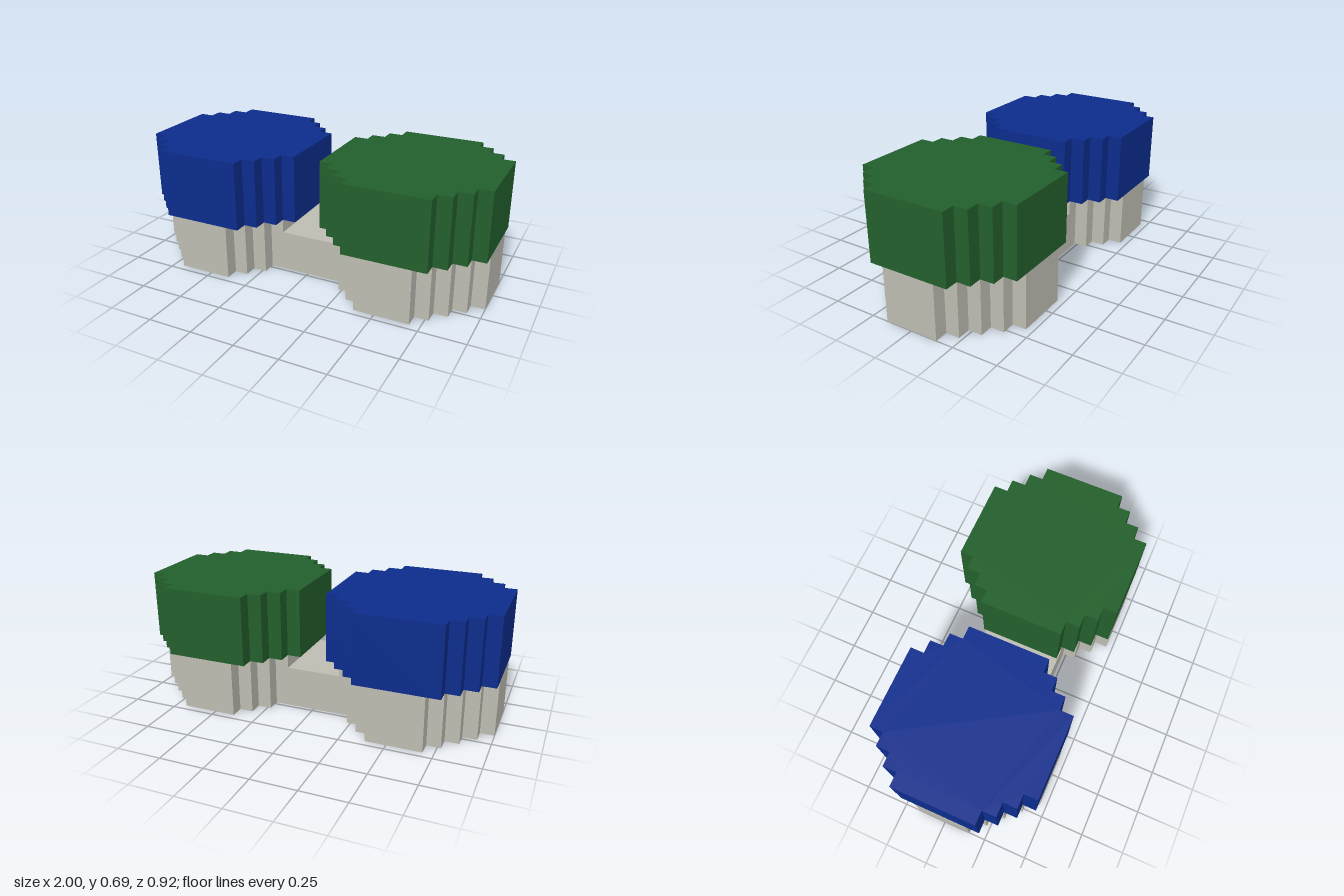
import * as THREE from 'three';

const U = 1 / 13; // one grid step

// Stepped disc outline from corner lists ([x, z], widest first) for the outer (+x) and inner (-x) sides
function steppedShape(outer, inner) {
  const stairs = (corners) => corners.flatMap(([x, z], i) =>
    i < corners.length - 1 ? [[x, z], [corners[i + 1][0], z]] : [[x, z]]);
  const a = stairs(outer), b = stairs(inner);
  const points = [
    ...a,
    ...[...b].reverse().map(([x, z]) => [-x, z]),
    ...b.map(([x, z]) => [-x, -z]),
    ...[...a].reverse().map(([x, z]) => [x, -z]),
  ];
  return new THREE.Shape(points.map(([x, z]) => new THREE.Vector2(x * U, z * U)));
}

// Upright prism of the given height, standing on y = bottom
function prism(shape, bottom, height) {
  const geometry = new THREE.ExtrudeGeometry(shape, { depth: height * U, bevelEnabled: false });
  return geometry.rotateX(-Math.PI / 2).translate(0, bottom * U, 0);
}

export function createModel() {
  const model = new THREE.Group();
  const material = (name, color) => new THREE.MeshStandardMaterial({ name, color });
  const grey = material('warm grey', 0xbdbcb2);
  const blue = material('blue', 0x0c2c8c);
  const green = material('green', 0x235f2c);

  const baseSteps = [[6, 2], [5, 3], [4, 4], [3, 5], [2, 6]];
  const capSteps = [[6, 3], [5, 4], [4, 5], [3, 6]];
  // The base is cut one step short on its inner side
  const baseGeometry = prism(steppedShape(baseSteps, baseSteps.slice(1)), 0, 4);
  const capGeometry = prism(steppedShape(capSteps, capSteps), 4, 5);

  // Two round containers, mirrored about the middle
  for (const [side, sign, colour] of [['left', 1, green], ['right', -1, blue]]) {
    const container = new THREE.Group();
    container.name = side + 'Container';
    const base = new THREE.Mesh(baseGeometry, grey);
    base.name = side + 'Base';
    const cap = new THREE.Mesh(capGeometry, colour);
    cap.name = side + 'Cap';
    container.add(base, cap);
    container.position.x = 7 * U * sign;
    container.rotation.y = sign < 0 ? Math.PI : 0;
    model.add(container);
  }

  // Low bridge joining the bases
  const bridge = new THREE.Mesh(new THREE.BoxGeometry(4 * U, 3 * U, 6 * U), grey);
  bridge.name = 'bridge';
  bridge.position.y = 1.5 * U;
  model.add(bridge);

  return model;
}
